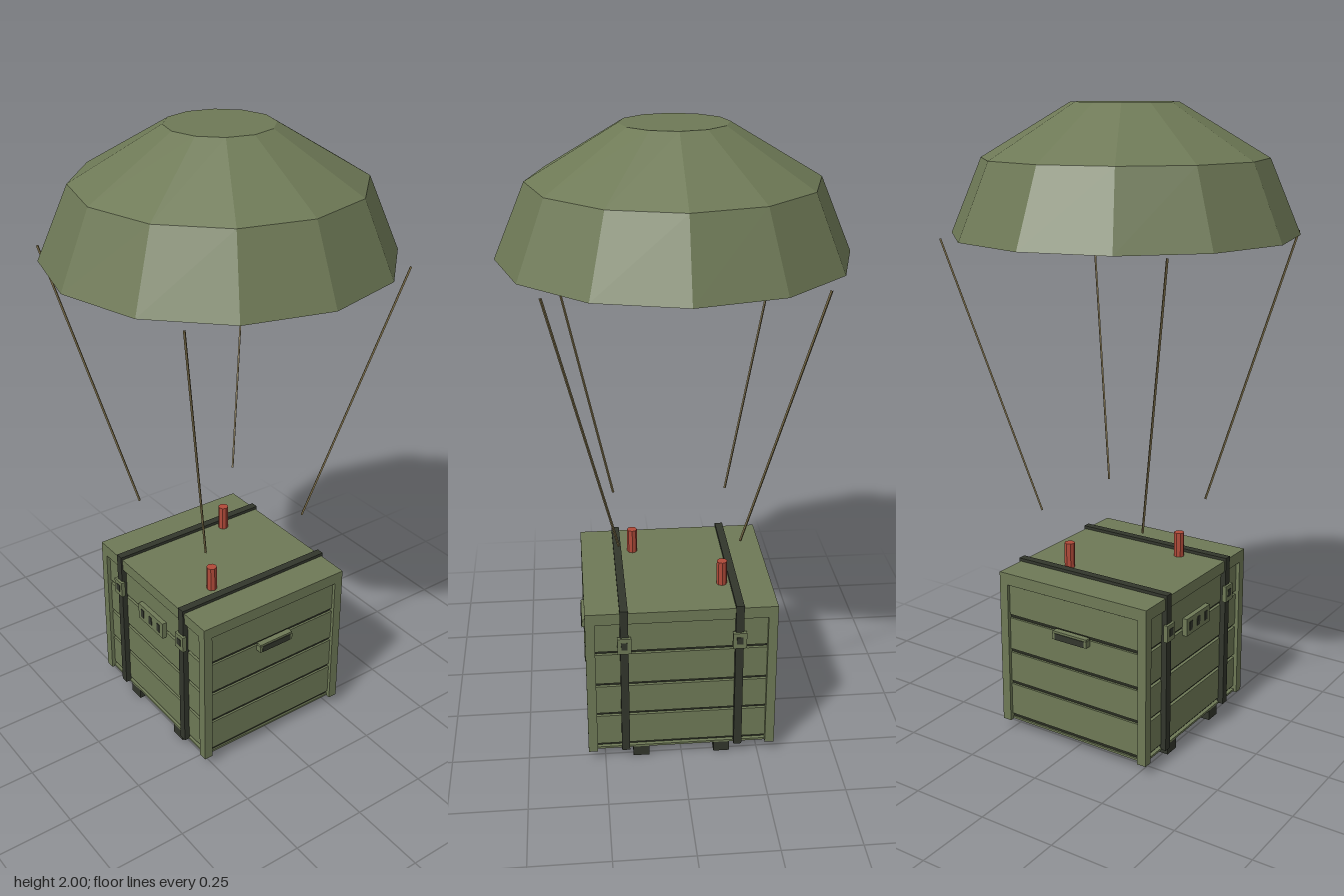
import * as THREE from 'three';

const mat = (name, color) => {
  const m = new THREE.MeshStandardMaterial({ color, flatShading: true });
  m.name = name;
  return m;
};

export function createModel() {
  const root = new THREE.Group();
  root.name = 'airdropCrate';
  const olive = mat('olive', 0x6e7956);
  const dark = mat('darkStrap', 0x32362c);
  const gap = mat('plankGap', 0x282b21);
  const rope = mat('rope', 0x7d6f4a);
  const red = mat('flareRed', 0xb04a39);

  const add = (parent, name, geo, material, x = 0, y = 0, z = 0) => {
    const m = new THREE.Mesh(geo, material);
    m.name = name;
    m.position.set(x, y, z);
    parent.add(m);
    return m;
  };
  // box given by its centre in x and z, and its bottom and top in y
  const box = (parent, name, material, w, d, y0, y1, x = 0, z = 0) =>
    add(parent, name, new THREE.BoxGeometry(w, y1 - y0, d), material, x, (y0 + y1) / 2, z);
  const group = (name) => {
    const g = new THREE.Group();
    g.name = name;
    root.add(g);
    return g;
  };
  const sides = [-1, 1];

  // Canopy: two twelve-sided rings, closed at top and bottom
  const canopy = group('canopy');
  add(canopy, 'canopyCrown', new THREE.CylinderGeometry(0.162, 0.435, 0.162, 12), olive, 0, 1.919, 0);
  add(canopy, 'canopySkirt', new THREE.CylinderGeometry(0.435, 0.532, 0.226, 12), olive, 0, 1.725, 0);

  // Suspension lines
  const lines = group('suspensionLines');
  for (const sx of sides) for (const sz of sides) {
    const a = new THREE.Vector3(0.19 * sx, 0.742, 0.19 * sz);
    const b = new THREE.Vector3(0.394 * sx, 1.61, 0.394 * sz);
    add(lines, 'suspensionLine', new THREE.TubeGeometry(new THREE.LineCurve3(a, b), 1, 0.004, 4), rope);
  }

  // Crate shell
  const crate = group('crate');
  box(crate, 'core', gap, 0.574, 0.51, 0.042, 0.51);
  box(crate, 'floor', olive, 0.585, 0.535, 0.035, 0.042);
  box(crate, 'lid', olive, 0.61, 0.555, 0.511, 0.55);
  for (const sx of sides) for (const sz of sides)
    box(crate, 'cornerPost', olive, 0.03, 0.03, 0.032, 0.511, 0.29 * sx, 0.2625 * sz);

  // Planks on all four walls, separated by dark gaps
  const rows = [[0.054, 0.161], [0.173, 0.274], [0.286, 0.394], [0.406, 0.505]];
  rows.forEach(([y0, y1], i) => {
    for (const s of sides) {
      box(crate, 'longPlank', olive, 0.55, 0.01, y0, i === 3 ? 0.51 : y1, 0, 0.26 * s);
      box(crate, 'sidePlank', olive, 0.01, 0.495, y0, y1, 0.289 * s, 0);
    }
  });

  // Skids
  for (const s of sides) box(crate, 'skid', dark, 0.052, 0.534, 0, 0.035, 0.132 * s, 0);

  // Straps running over the lid and down both faces, with buckles
  const straps = group('straps');
  for (const sx of sides) {
    const x = 0.183 * sx;
    box(straps, 'strapTop', dark, 0.026, 0.566, 0.55, 0.56, x);
    for (const sz of sides) {
      box(straps, 'strapSide', dark, 0.026, 0.021, 0.036, 0.55, x, 0.2725 * sz);
      box(straps, 'buckle', olive, 0.044, 0.014, 0.41, 0.465, x, 0.284 * sz);
      box(straps, 'buckleSlot', dark, 0.02, 0.004, 0.426, 0.451, x, 0.2905 * sz);
    }
  }

  // Latch plate on the front
  const latch = group('latch');
  box(latch, 'latchPlate', olive, 0.144, 0.018, 0.377, 0.435, 0, 0.272);
  for (const x of [-0.047, 0, 0.047])
    box(latch, 'latchSlot', dark, 0.016, 0.004, 0.391, 0.421, x, 0.281);

  // Carrying handles on both ends: dark grip under a slim rail
  for (const s of sides) {
    const handle = group('handle');
    box(handle, 'handleGrip', dark, 0.024, 0.112, 0.375, 0.396, 0.303 * s);
    box(handle, 'handleRail', olive, 0.02, 0.128, 0.396, 0.403, 0.303 * s);
    for (const z of [-0.06, 0.06])
      box(handle, 'handleMount', olive, 0.022, 0.01, 0.375, 0.396, 0.303 * s, z);
  }

  // Signal flares standing on the lid
  for (const [x, z] of [[-0.144, -0.117], [0.132, 0.127]])
    add(root, 'flare', new THREE.CylinderGeometry(0.017, 0.017, 0.084, 8), red, x, 0.59, z);

  return root;
}
